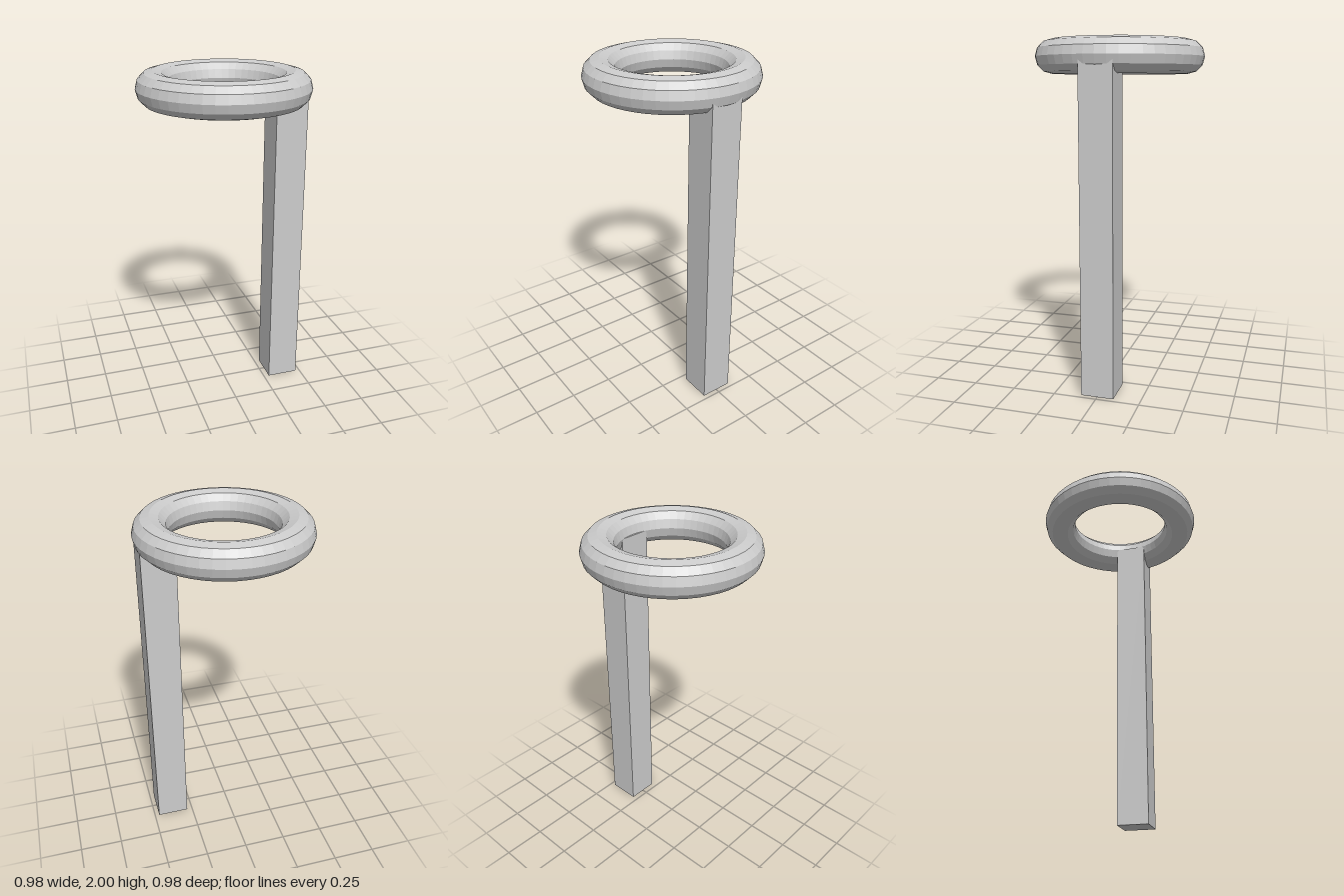
import * as THREE from 'three';

export function createModel() {
  const model = new THREE.Group();
  const material = new THREE.MeshStandardMaterial({ color: 0xcccccc, flatShading: true });

  const ringRadius = 0.393;
  const tubeRadius = 0.098;
  const ringHeight = 2 - tubeRadius;

  // Horizontal ring at the top
  const ring = new THREE.Mesh(
    new THREE.TorusGeometry(ringRadius, tubeRadius, 12, 48).rotateX(-Math.PI / 2),
    material
  );
  ring.name = 'ring';
  ring.position.y = ringHeight;
  model.add(ring);

  // Square post under one side, ending inside the ring's tube
  const postWidth = 0.19;
  const post = new THREE.Mesh(new THREE.BoxGeometry(postWidth, ringHeight, postWidth), material);
  post.name = 'post';
  post.position.set(0.378, ringHeight / 2, 0);
  model.add(post);

  return model;
}
